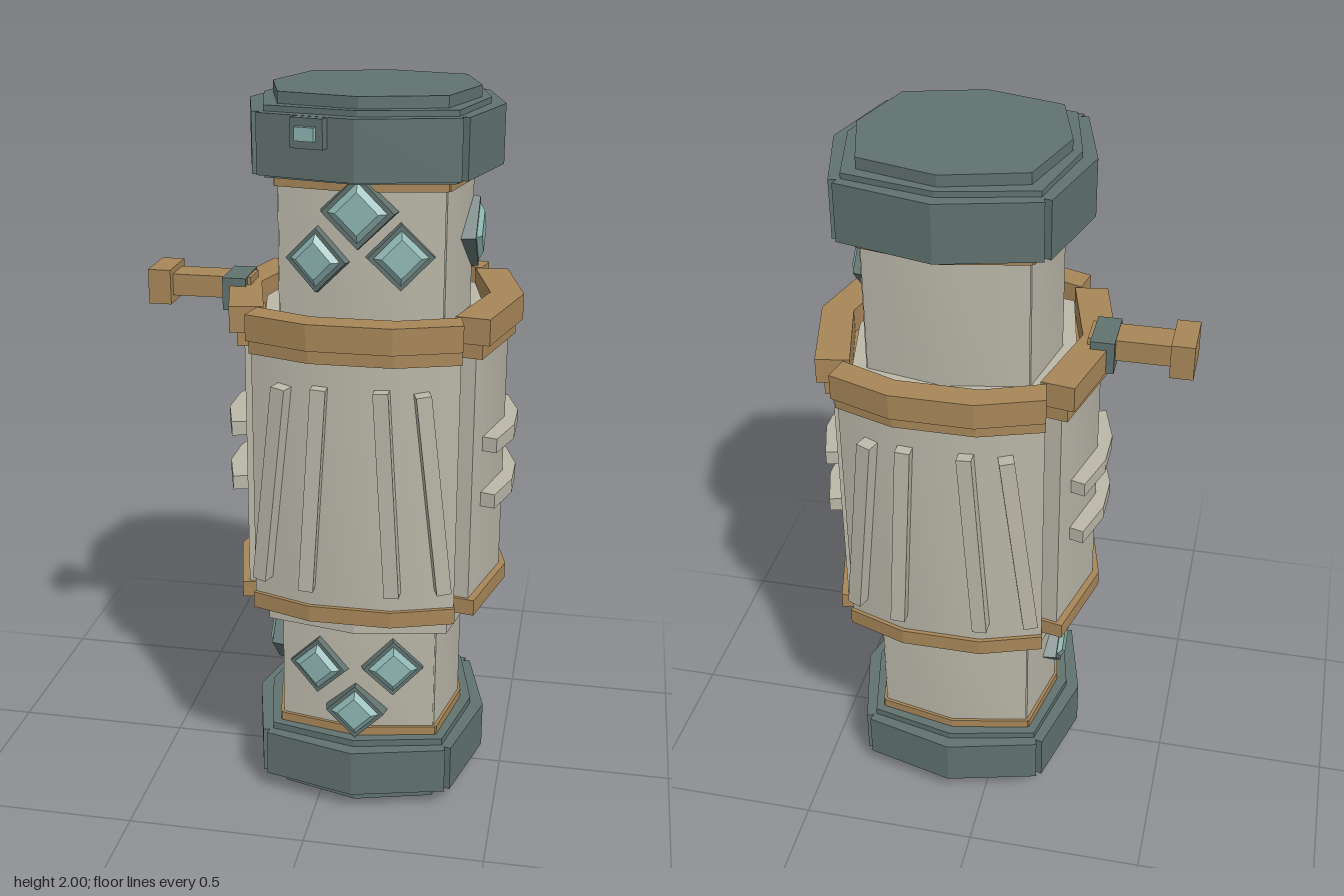
import * as THREE from 'three';
import { toCreasedNormals } from 'three/addons/utils/BufferGeometryUtils.js';

const material = (name, color) => {
  const m = new THREE.MeshStandardMaterial({ color });
  m.name = name;
  return m;
};

export function createModel() {
  const slate = material('slate', 0x60726f);
  const brass = material('brass', 0xa88759);
  const stone = material('stone', 0xbbb8a9);
  const crystal = material('crystal', 0x8fb7b3);

  const model = new THREE.Group();
  model.name = 'capsule';
  const column = new THREE.Group();
  column.name = 'column';
  column.position.x = 0.105; // the column stands off centre because of the handle
  model.add(column);

  const add = (name, geo, mat, parent = column, crease = 0.1) => {
    const mesh = new THREE.Mesh(toCreasedNormals(geo, crease), mat);
    mesh.name = name;
    parent.add(mesh);
    return mesh;
  };
  const box = (name, mat, w, h, d, x, y, z, parent) => {
    const mesh = add(name, new THREE.BoxGeometry(w, h, d), mat, parent);
    mesh.position.set(x, y, z);
    return mesh;
  };
  // Vertical prism from a plan outline
  const prism = (pts, y0, y1) => {
    const shape = new THREE.Shape(pts.map(p => new THREE.Vector2(p[0], p[1])));
    const geo = new THREE.ExtrudeGeometry(shape, { depth: y1 - y0, bevelEnabled: false });
    return geo.rotateX(-Math.PI / 2).translate(0, y0, 0);
  };
  // Octagonal core: a on the axes, c at the diagonal corners
  const core = (name, mat, a, c, y0, y1) =>
    add(name, prism([[a, 0], [c, c], [0, a], [-c, c], [-a, 0], [-c, -c], [0, -a], [c, -c]], y0, y1), mat);
  // Bent panel: half width w, depth d0 at the ends, d1 in the middle, flat for half width f, thickness t
  const panelShape = ({ w, d0, d1, f = 0, t = 0.05 }) => {
    const mid = f ? [[f, d1], [-f, d1]] : [[0, d1]];
    const inner = f ? [[-f, d1 - t], [f, d1 - t]] : [[0, d1 - t]];
    return [[w, d0], ...mid, [-w, d0], [-w + 0.015, d0 - t], ...inner, [w - 0.015, d0 - t]];
  };
  // Four panels around the column; plan y points to -z, so the first is turned by half a turn
  const panels = (name, mat, y0, y1, front, side = front, crease = 0.1) => {
    for (let i = 0; i < 4; i++) {
      const geo = prism(panelShape(i % 2 ? side : front), y0, y1);
      geo.rotateY(Math.PI + i * Math.PI / 2);
      add(name, geo, mat, column, crease);
    }
  };

  // End caps
  const capPanel = { w: 0.258, d0: 0.272, d1: 0.338 };
  for (const [name, b0, b1, l0, l1, e0, e1] of [
    ['bottomCap', 0.055, 0.19, 0.19, 0.21, 0, 0.04],
    ['topCap', 1.8, 1.955, 1.79, 1.8, 1.97, 2],
  ]) {
    panels(name + 'Panel', slate, b0, b1, capPanel);
    core(name + 'Core', slate, 0.30, 0.245, Math.min(b0, l0) - (e0 ? 0 : 0.015), Math.max(b1, l1) + (e0 ? 0.015 : 0));
    core(name + 'End', slate, 0.275, 0.215, e0, e1);
  }

  // Inner shaft with brass trims
  core('shaftCore', stone, 0.24, 0.205, 0.2, 1.8);
  const shaftPanel = { w: 0.215, d0: 0.218, d1: 0.262 };
  const trimPanel = { w: 0.222, d0: 0.226, d1: 0.27 };
  for (const [y0, y1] of [[0.2, 0.57], [1.38, 1.8]]) panels('shaftPanel', stone, y0, y1, shaftPanel, shaftPanel, 0.6);
  for (const [y0, y1] of [[0.205, 0.235], [1.765, 1.792]]) {
    core('shaftTrimCore', brass, 0.245, 0.213, y0, y1);
    panels('shaftTrim', brass, y0, y1, trimPanel);
  }

  // Collars and main barrel
  core('barrelCore', stone, 0.29, 0.25, 0.6, 1.4);
  core('lowerCollarCore', stone, 0.28, 0.235, 0.55, 0.61);
  const collarPanel = { w: 0.25, d0: 0.25, d1: 0.30 };
  panels('lowerCollar', stone, 0.55, 0.612, collarPanel);
  panels('upperCollar', stone, 1.36, 1.415, collarPanel);
  panels('barrelPanel', stone, 0.64, 1.37,
    { w: 0.273, d0: 0.305, d1: 0.36, f: 0.11, t: 0.07 }, { w: 0.245, d0: 0.305, d1: 0.367, t: 0.07 }, 0.6);

  // Brass hoops
  const hoopFront = { w: 0.277, d0: 0.315, d1: 0.372, f: 0.11, t: 0.07 };
  const hoopSide = { w: 0.257, d0: 0.322, d1: 0.386, t: 0.08 };
  panels('lowerHoop', brass, 0.615, 0.66, hoopFront, hoopSide);
  panels('upperHoopStep', brass, 1.345, 1.388, hoopFront, hoopSide);
  panels('upperHoop', brass, 1.385, 1.455,
    { w: 0.281, d0: 0.335, d1: 0.396, f: 0.11, t: 0.075 }, { w: 0.268, d0: 0.34, d1: 0.405, t: 0.09 });

  // Slanted ribs on the front and back
  for (const face of [0, Math.PI]) {
    const ribs = new THREE.Group();
    ribs.name = face ? 'backRibs' : 'frontRibs';
    ribs.rotation.y = face;
    column.add(ribs);
    for (const s of [-1, 1]) {
      const innerRib = box('innerRib', stone, 0.04, 0.57, 0.05, s * 0.098, 0.998, 0.368, ribs);
      innerRib.rotation.z = s * 0.062;
      const outerRib = box('outerRib', stone, 0.04, 0.56, 0.05, s * 0.213, 0.996, 0.34, ribs);
      outerRib.rotation.set(0, s * 0.32, s * 0.118);
    }
  }

  // Bent grips on both sides
  for (const s of [-1, 1]) for (const y of [0.925, 1.085]) {
    const geo = prism(panelShape({ w: 0.185, d0: 0.362, d1: 0.399, f: 0.06 }), y - 0.02, y + 0.02);
    add('sideGrip', geo.rotateY(-s * Math.PI / 2), stone);
  }

  // Framed crystals: face angle, offset along the face, height, half diagonal
  const frustum = (r0, r1, z0, z1) =>
    new THREE.CylinderGeometry(r1, r0, z1 - z0, 4).rotateX(Math.PI / 2).translate(0, 0, (z0 + z1) / 2);
  const gems = [
    [0, 0, 1.715, 0.1], [0, -0.108, 1.585, 0.09], [0, 0.105, 1.6, 0.092],
    [0, -0.107, 0.415, 0.09], [0, 0.1, 0.428, 0.09], [0, 0, 0.29, 0.088],
    [Math.PI / 2, 0, 1.62, 0.1], [-Math.PI / 2, 0, 0.385, 0.1],
  ];
  for (const [turn, x, y, r] of gems) {
    const side = new THREE.Group();
    side.name = 'gem';
    side.rotation.y = turn;
    column.add(side);
    const gem = new THREE.Group();
    gem.name = 'gemMount';
    gem.position.set(x, y, 0.262 - Math.abs(x) * 0.2);
    gem.rotation.y = Math.sign(x) * 0.24;
    side.add(gem);
    add('gemFrame', frustum(r, r * 0.93, -0.02, 0.018), slate, gem);
    add('gemCrystal', frustum(r * 0.77, r * 0.55, 0.018, 0.031), crystal, gem);
  }

  // Small button on the front of the top cap
  const button = new THREE.Group();
  button.name = 'button';
  button.position.set(-0.113, 1.917, 0.318);
  button.rotation.y = -0.25;
  column.add(button);
  box('buttonBase', slate, 0.088, 0.075, 0.03, 0, 0, 0.003, button);
  box('buttonRim', crystal, 0.052, 0.034, 0.018, 0, 0, 0.024, button);

  // Side handle
  box('handleCollar', slate, 0.065, 0.09, 0.137, -0.272, 1.432, 0, model);
  box('handleStem', brass, 0.23, 0.06, 0.092, -0.345, 1.445, 0, model);
  box('handleKnob', brass, 0.063, 0.096, 0.14, -0.482, 1.443, 0, model);

  return model;
}
